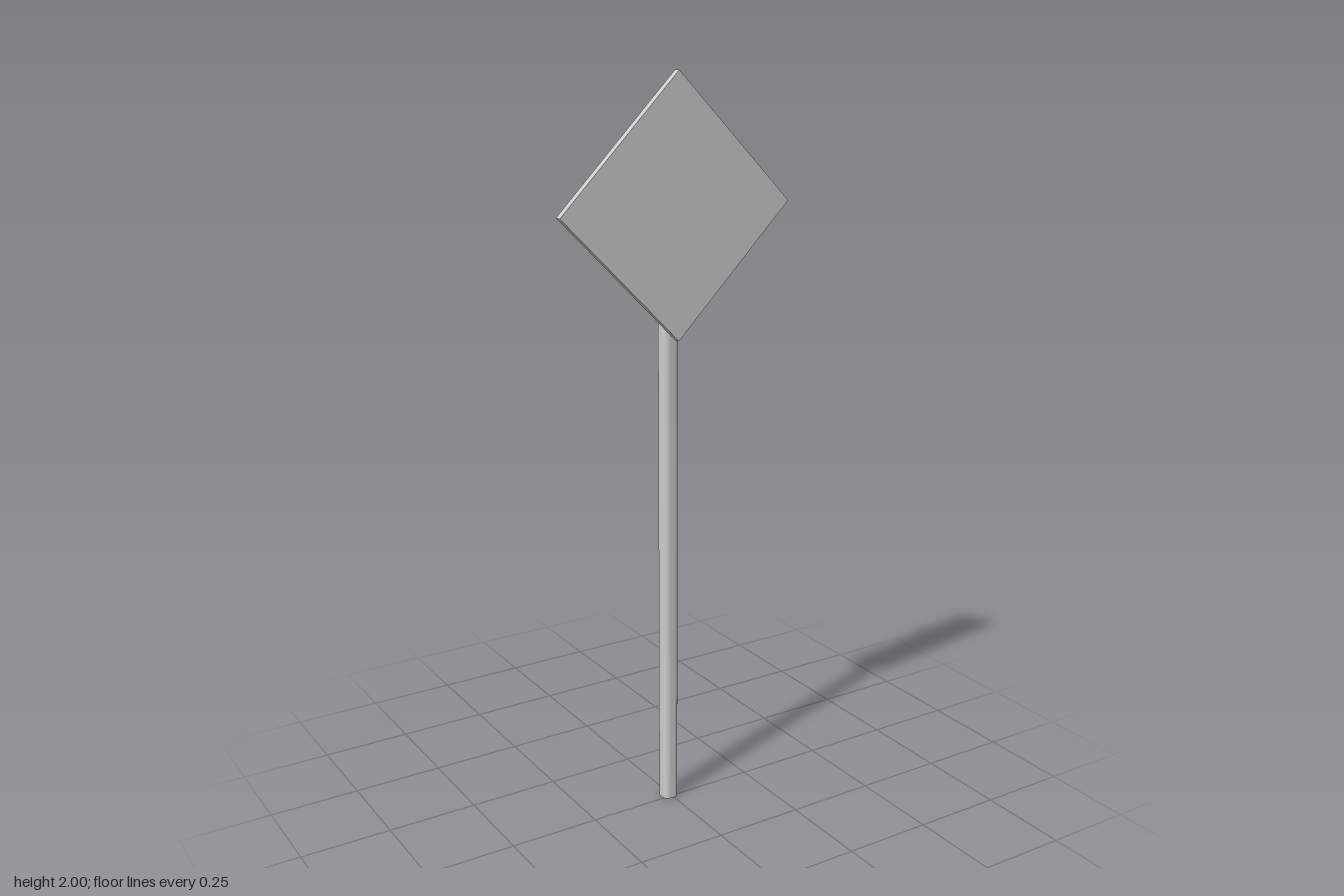
import * as THREE from 'three';
import { toCreasedNormals } from 'three/addons/utils/BufferGeometryUtils.js';

// Square outline with rounded corners, centred on the origin
function roundedSquare(half, radius) {
  const shape = new THREE.Shape();
  const c = half - radius;
  [[c, c], [-c, c], [-c, -c], [c, -c]].forEach(([x, y], i) => {
    shape.absarc(x, y, radius, i * Math.PI / 2, (i + 1) * Math.PI / 2, false);
  });
  shape.closePath();
  return shape;
}

export function createModel() {
  const group = new THREE.Group();
  group.name = 'signpost';
  const material = new THREE.MeshStandardMaterial({ color: 0xcccccc });

  // Upright pole with a softly rounded square section
  const poleGeometry = new THREE.ExtrudeGeometry(roundedSquare(0.023, 0.017), {
    depth: 1.77, bevelEnabled: false, curveSegments: 6,
  });
  poleGeometry.rotateX(-Math.PI / 2);
  const pole = new THREE.Mesh(toCreasedNormals(poleGeometry, Math.PI / 5), material);
  pole.name = 'pole';
  pole.position.set(-0.005, 0, -0.012);
  group.add(pole);

  // Square board standing on its corner, in front of the pole
  const halfDiagonal = 0.337;
  const side = halfDiagonal * Math.SQRT2;
  const board = new THREE.Mesh(new THREE.BoxGeometry(side, side, 0.02), material);
  board.name = 'signBoard';
  board.rotation.z = Math.PI / 4;
  board.position.set(0, 2 - halfDiagonal, 0.024);
  group.add(board);

  return group;
}
